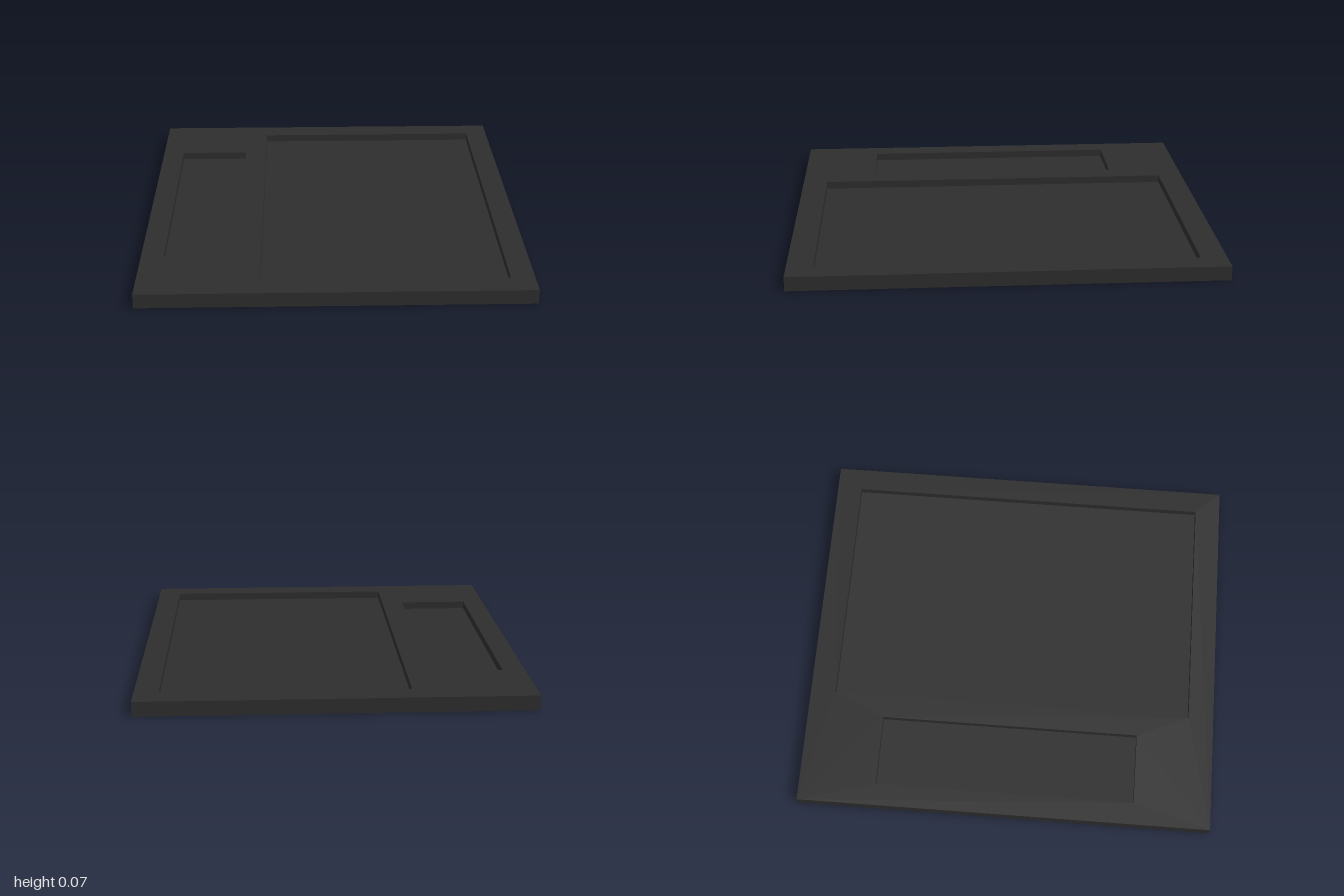
import * as THREE from 'three';

const WIDTH = 1.79, DEPTH = 2, HEIGHT = 0.068, FLOOR = 0.031;

// Traces a rectangle on a shape or path; z points towards the front
function rectangle(path, x0, x1, z0, z1) {
  path.moveTo(x0, -z1);
  path.lineTo(x1, -z1);
  path.lineTo(x1, -z0);
  path.lineTo(x0, -z0);
  path.closePath();
  return path;
}

export function createModel() {
  const group = new THREE.Group();
  group.name = 'recessedTray';
  const charcoal = new THREE.MeshStandardMaterial({ color: 0x2d2d2d });
  charcoal.name = 'charcoal';

  // Solid base, whose top is the floor of both recesses
  const base = new THREE.Mesh(new THREE.BoxGeometry(WIDTH, FLOOR, DEPTH), charcoal);
  base.name = 'base';
  base.position.y = FLOOR / 2;
  group.add(base);

  // Upper frame with a narrow and a wide rectangular recess
  const outline = rectangle(new THREE.Shape(), -WIDTH / 2, WIDTH / 2, -DEPTH / 2, DEPTH / 2);
  outline.holes.push(
    rectangle(new THREE.Path(), -0.79, -0.45, -0.627, 0.627),
    rectangle(new THREE.Path(), -0.34, 0.785, -0.878, 0.878),
  );
  const frameGeometry = new THREE.ExtrudeGeometry(outline, { depth: HEIGHT - FLOOR, bevelEnabled: false });
  frameGeometry.rotateX(-Math.PI / 2);
  const frame = new THREE.Mesh(frameGeometry, charcoal);
  frame.name = 'frame';
  frame.position.y = FLOOR;
  group.add(frame);

  return group;
}
